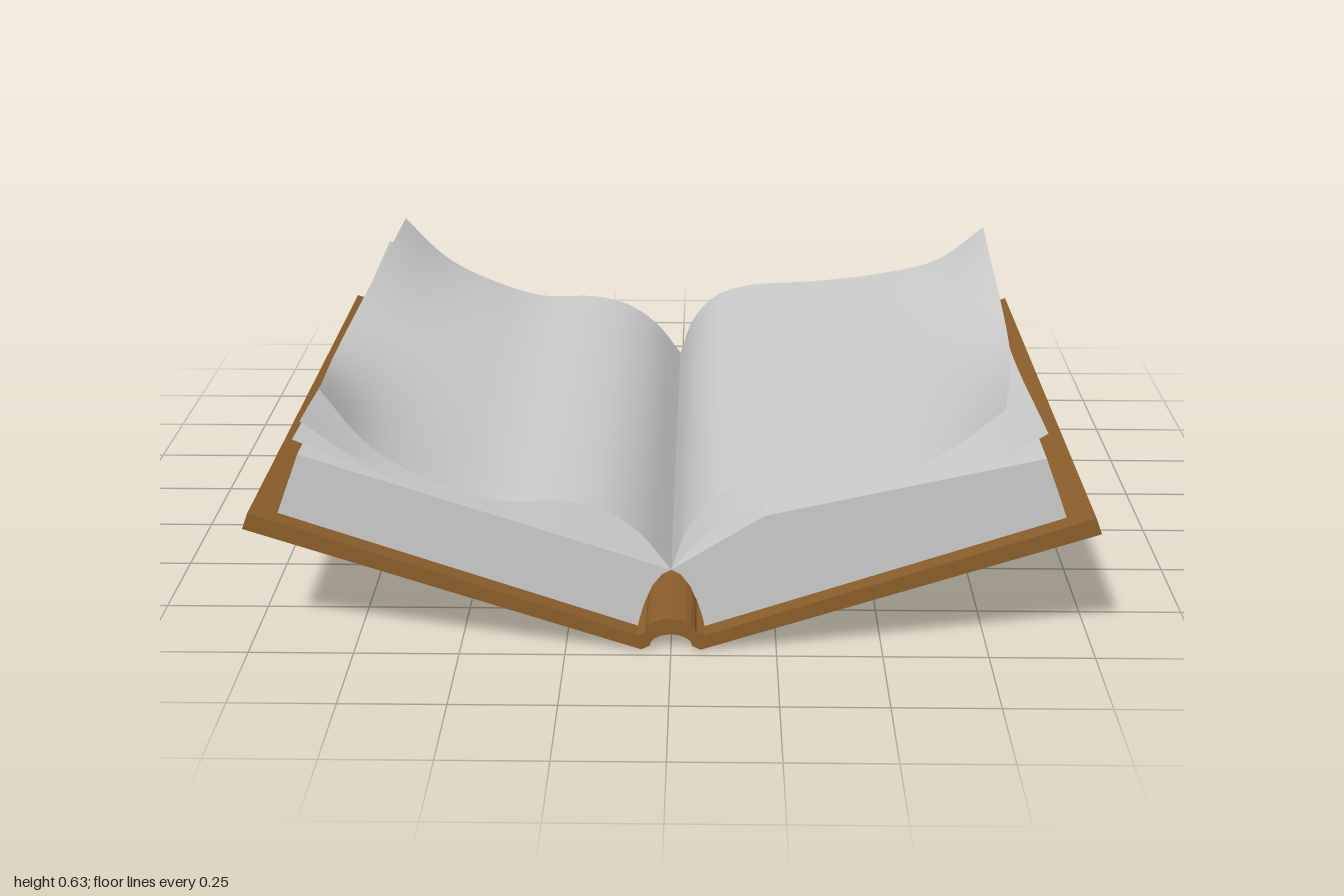
import * as THREE from 'three';

const FRONT = 0.92, BACK = -0.65;

const paper = new THREE.MeshStandardMaterial({ color: 0xcccccc });
const sheetPaper = new THREE.MeshStandardMaterial({ color: 0xcccccc, side: THREE.DoubleSide });
const leather = new THREE.MeshStandardMaterial({ color: 0x8b5e2b });
const cloth = new THREE.MeshStandardMaterial({ color: 0xb8333a, side: THREE.DoubleSide });

const curve = (pts) => new THREE.CatmullRomCurve3(pts.map(([x, y, z = 0]) => new THREE.Vector3(x, y, z)), false, 'centripetal');

function add(group, name, geometry, material) {
  const mesh = new THREE.Mesh(geometry, material);
  mesh.name = name;
  group.add(mesh);
}

// Prism with a front outline, running from z0 to z1
function prism(points, z0, z1) {
  const shape = new THREE.Shape(points.map(([x, y]) => new THREE.Vector2(x, y)));
  return new THREE.ExtrudeGeometry(shape, { depth: z1 - z0, bevelEnabled: false }).translate(0, 0, z0);
}

// Surface on a grid: at(u, v) gives the point
function surface(nu, nv, at) {
  const geo = new THREE.PlaneGeometry(1, 1, nu, nv);
  const pos = geo.attributes.position;
  for (let j = 0, i = 0; j <= nv; j++)
    for (let k = 0; k <= nu; k++, i++) {
      const p = at(k / nu, j / nv);
      pos.setXYZ(i, p.x, p.y, p.z);
    }
  geo.computeVertexNormals();
  return geo;
}

// Loose leaf: spine-to-edge profiles at the front, middle and back
function leaf(front, middle, back, bow = 0) {
  const rails = [front, middle, back].map(curve);
  const zs = [FRONT, 0.15, BACK];
  // u runs in +x so that the upper face is the front face
  const leftSide = front[front.length - 1][0] < 0;
  return surface(32, 24, (s, t) => {
    const u = leftSide ? 1 - s : s;
    const across = curve(rails.map((r, i) => {
      const p = r.getPointAt(u);
      const z = i === 2 ? zs[2] - bow * Math.sin(Math.PI * u) ** 2 : zs[i];
      return [p.x, p.y, z];
    }));
    return across.getPoint(1 - t);
  });
}

export function createModel() {
  const book = new THREE.Group();
  book.name = 'openBook';

  // Cover: two sloping boards joined by an arched spine
  const arch = (halfWidth, base, height) => Array.from({ length: 11 }, (_, i) => {
    const a = Math.PI * i / 10;
    return [-halfWidth * Math.cos(a), base + height * Math.sin(a)];
  });
  const underside = [[-1, 0.31], [-0.07, 0.005], ...arch(0.05, 0.015, 0.03), [0.07, 0.005], [1, 0.31]];
  const topside = [[0.985, 0.35], [0.08, 0.043], ...arch(0.06, 0.05, 0.035).reverse(), [-0.08, 0.043], [-0.985, 0.35]];
  add(book, 'cover', prism([...underside, ...topside], -0.71, 0.97), leather);

  // Page blocks, curving up to the gutter
  const gutter = [[0, 0.19], [0.022, 0.178], [0.045, 0.148], [0.063, 0.105], [0.075, 0.065], [0.08, 0.04]];
  const leftBlock = [...gutter, [0.925, 0.33], [0.87, 0.478], [0.22, 0.33]].reverse();
  const rightBlock = [...gutter, [0.925, 0.33], [0.87, 0.478]].map(([x, y]) => [-x, y]);
  add(book, 'leftPageBlock', prism(leftBlock, BACK, FRONT), paper);
  add(book, 'rightPageBlock', prism(rightBlock, BACK, FRONT), paper);

  // Loose leaves on the right (-x), corners curling up
  add(book, 'rightTopLeaf', leaf(
    [[0, 0.19], [-0.07, 0.28], [-0.15, 0.34], [-0.25, 0.365], [-0.4, 0.365], [-0.55, 0.41], [-0.7, 0.5], [-0.81, 0.64]],
    [[0, 0.19], [-0.07, 0.28], [-0.15, 0.335], [-0.25, 0.36], [-0.42, 0.36], [-0.6, 0.405], [-0.75, 0.455], [-0.885, 0.505]],
    [[0, 0.19], [-0.07, 0.28], [-0.15, 0.335], [-0.25, 0.36], [-0.42, 0.36], [-0.57, 0.41], [-0.7, 0.485], [-0.82, 0.61]], 0.035,
  ), sheetPaper);
  add(book, 'rightMiddleLeaf', leaf(
    [[0, 0.19], [-0.2, 0.268], [-0.45, 0.355], [-0.7, 0.45], [-0.86, 0.56]],
    [[0, 0.19], [-0.2, 0.265], [-0.45, 0.35], [-0.7, 0.435], [-0.88, 0.495]],
    [[0, 0.19], [-0.2, 0.268], [-0.45, 0.355], [-0.7, 0.45], [-0.87, 0.54]],
  ), sheetPaper);
  add(book, 'rightBottomLeaf', leaf(
    [[0, 0.19], [-0.3, 0.295], [-0.6, 0.4], [-0.88, 0.515]],
    [[0, 0.19], [-0.3, 0.293], [-0.6, 0.394], [-0.88, 0.488]],
    [[0, 0.19], [-0.3, 0.295], [-0.6, 0.4], [-0.88, 0.51]],
  ), sheetPaper);

  // Loose leaves on the left (+x)
  add(book, 'leftTopLeaf', leaf(
    [[0, 0.19], [0.04, 0.3], [0.11, 0.38], [0.2, 0.41], [0.4, 0.42], [0.55, 0.45], [0.66, 0.51], [0.77, 0.6]],
    [[0, 0.19], [0.04, 0.3], [0.11, 0.375], [0.2, 0.405], [0.4, 0.42], [0.58, 0.44], [0.74, 0.465], [0.88, 0.495]],
    [[0, 0.19], [0.04, 0.3], [0.11, 0.375], [0.2, 0.405], [0.4, 0.42], [0.6, 0.445], [0.77, 0.49], [0.9, 0.59]],
  ), sheetPaper);
  add(book, 'leftMiddleLeaf', leaf(
    [[0, 0.19], [0.07, 0.27], [0.17, 0.345], [0.3, 0.39], [0.55, 0.425], [0.75, 0.47], [0.87, 0.54]],
    [[0, 0.19], [0.07, 0.27], [0.17, 0.34], [0.3, 0.385], [0.55, 0.42], [0.75, 0.455], [0.88, 0.49]],
    [[0, 0.19], [0.07, 0.27], [0.17, 0.34], [0.3, 0.385], [0.55, 0.42], [0.75, 0.46], [0.9, 0.525]],
  ), sheetPaper);

  // Ribbon bookmark, leaning with the board and drooping behind the book
  const ribbonPath = curve([[-0.2, 0.2, -0.5], [-0.205, 0.195, -0.65], [-0.215, 0.185, -0.8], [-0.23, 0.16, -0.97]]);
  add(book, 'ribbon', surface(2, 16, (u, v) => {
    const p = ribbonPath.getPoint(1 - v);
    const w = (u - 0.5) * 0.115;
    return p.add(new THREE.Vector3(w, -w * 0.33, 0));
  }), cloth);

  return book;
}
